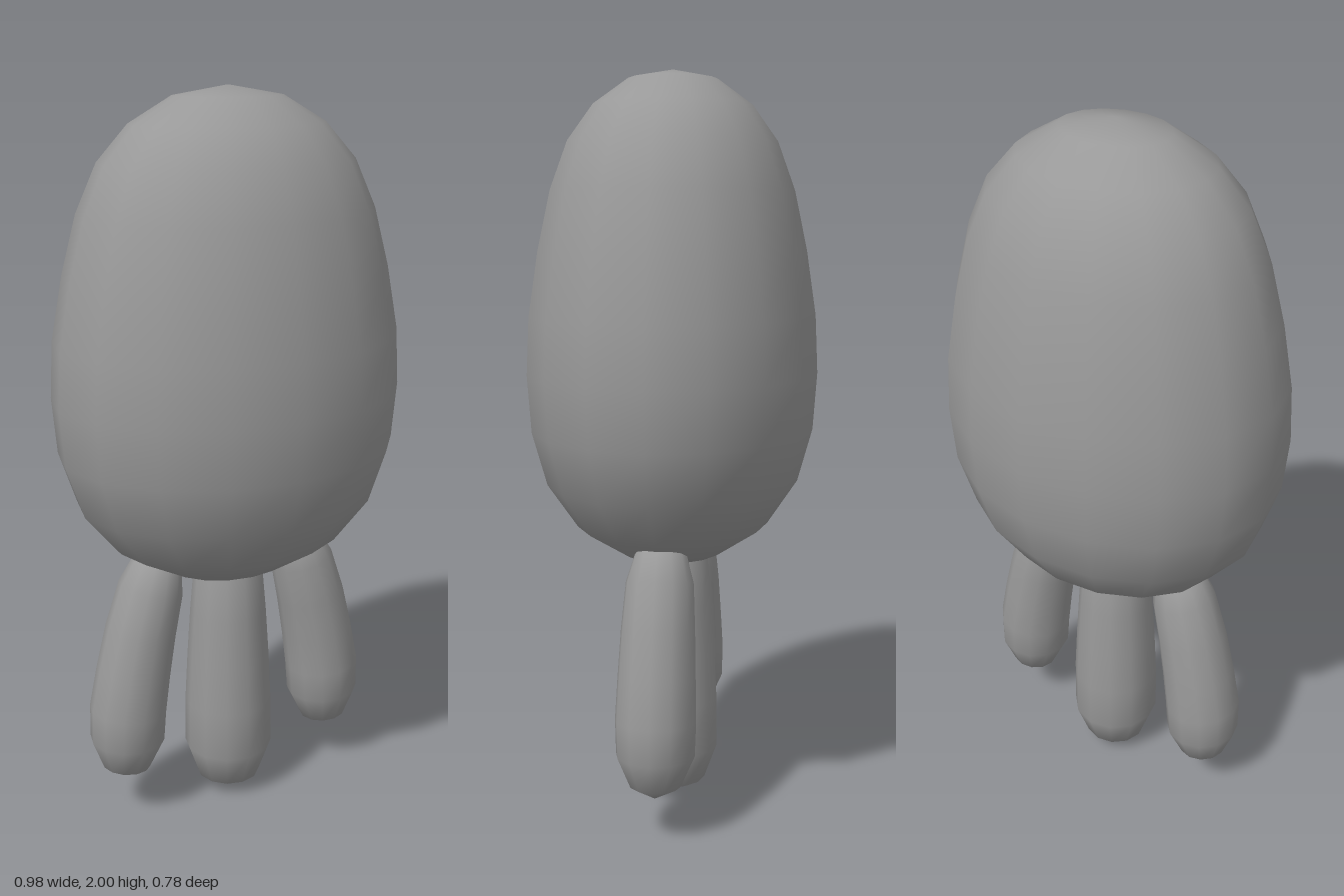
import * as THREE from 'three';
import { mergeVertices } from 'three/addons/utils/BufferGeometryUtils.js';

const material = new THREE.MeshStandardMaterial({ color: 0x999999 });

// Smooth round part swept along rings [x, y, radius] listed from the bottom upward
function sweep(name, rings, { side = 1, sides = 12, depth = 1 } = {}) {
  const positions = [];
  const index = [];
  const last = rings.length - 1;
  rings.forEach(([x, y, r], i) => {
    const [x0, y0] = rings[Math.max(i - 1, 0)];
    const [x1, y1] = rings[Math.min(i + 1, last)];
    const tangent = new THREE.Vector2(side * (x1 - x0), y1 - y0).normalize();
    for (let j = 0; j < sides; j++) {
      const a = (j / sides) * Math.PI * 2;
      const c = r * Math.cos(a);
      positions.push(side * x + c * tangent.y, y - c * tangent.x, depth * r * Math.sin(a));
      if (i === last) continue;
      const p = i * sides + j;
      const q = i * sides + ((j + 1) % sides);
      // End rings shrink to a point, so they need only one triangle per side
      if (i < last - 1) index.push(q, p + sides, q + sides);
      else index.push(p, p + sides, q);
      if (i > 0 && i < last - 1) index.push(p, p + sides, q);
    }
  });
  let geometry = new THREE.BufferGeometry();
  geometry.setAttribute('position', new THREE.Float32BufferAttribute(positions, 3));
  geometry.setIndex(index);
  geometry = mergeVertices(geometry);
  geometry.computeVertexNormals();
  const mesh = new THREE.Mesh(geometry, material);
  mesh.name = name;
  return mesh;
}

export function createModel() {
  const group = new THREE.Group();

  // Egg-shaped body, flattened front to back
  group.add(sweep('body', [
    [0, 0.69, 0], [0, 0.709, 0.175], [0, 0.79, 0.327], [0, 0.91, 0.427], [0, 1.053, 0.476],
    [0, 1.206, 0.489], [0, 1.36, 0.48], [0, 1.53, 0.448], [0, 1.686, 0.406],
    [0, 1.813, 0.348], [0, 1.907, 0.264], [0, 1.975, 0.148], [0, 2, 0],
  ], { sides: 16, depth: 0.8 }));

  // Straight middle leg
  group.add(sweep('middleLeg', [
    [0, 0, 0], [0, 0.043, 0.09], [0, 0.14, 0.125], [0, 0.28, 0.124],
    [0, 0.42, 0.117], [0, 0.56, 0.108], [0, 0.7, 0.096], [0, 0.78, 0.065], [0, 0.8, 0],
  ]));

  // Splayed, slightly curved outer legs
  const outer = [
    [0.333, 0.117, 0], [0.328, 0.152, 0.068], [0.323, 0.235, 0.104], [0.319, 0.325, 0.107],
    [0.3, 0.435, 0.103], [0.275, 0.555, 0.098], [0.242, 0.675, 0.09],
    [0.217, 0.758, 0.065], [0.21, 0.782, 0],
  ];
  group.add(sweep('leftLeg', outer), sweep('rightLeg', outer, { side: -1 }));

  return group;
}
